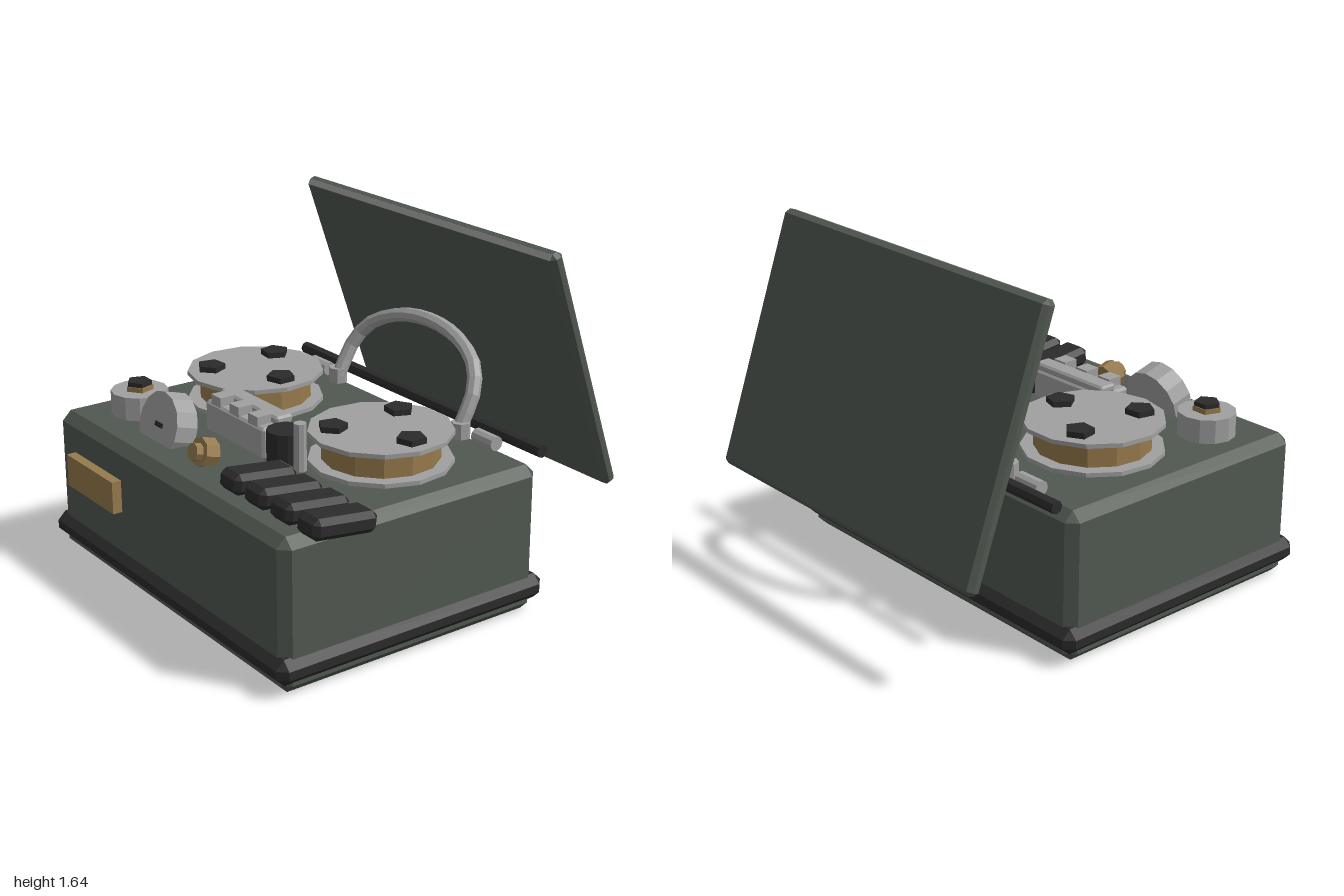
import * as THREE from 'three';
import { ConvexGeometry } from 'three/addons/geometries/ConvexGeometry.js';

const mat = (name, color) => Object.assign(new THREE.MeshStandardMaterial({ color }), { name });

// box with every edge cut at 45 degrees
function chamferBox(w, h, d, c) {
  const pts = [];
  for (const sx of [-1, 1]) for (const sy of [-1, 1]) for (const sz of [-1, 1]) {
    const x = w / 2, y = h / 2, z = d / 2;
    pts.push(
      new THREE.Vector3(sx * x, sy * (y - c), sz * (z - c)),
      new THREE.Vector3(sx * (x - c), sy * y, sz * (z - c)),
      new THREE.Vector3(sx * (x - c), sy * (y - c), sz * z));
  }
  return new ConvexGeometry(pts);
}

// separate the faces so that each has its own normal
function faceted(geometry) {
  const g = geometry.index ? geometry.toNonIndexed() : geometry;
  g.computeVertexNormals();
  return g;
}

export function createModel() {
  const green = mat('caseGreen', 0x515851);
  const black = mat('blackRubber', 0x2b2b2b);
  const silver = mat('silverMetal', 0xa0a0a0);
  const tan = mat('tanBrass', 0x967a4c);
  const model = new THREE.Group();
  model.name = 'tapeRecorder';

  function add(name, geometry, material, x, y, z, parent = model) {
    const mesh = new THREE.Mesh(faceted(geometry), material);
    mesh.name = name;
    mesh.position.set(x, y, z);
    parent.add(mesh);
    return mesh;
  }
  function group(name, x, y, z, rx = 0) {
    const g = new THREE.Group();
    g.name = name;
    g.position.set(x, y, z);
    g.rotation.x = rx;
    model.add(g);
    return g;
  }
  const cyl = (r, h, n) => new THREE.CylinderGeometry(r, r, h, n);

  // case, bumper band and front plate
  add('caseBody', chamferBox(1.87, 0.7, 1.37, 0.045), green, -0.033, 0.35, 0.24);
  add('bumperBand', chamferBox(1.935, 0.12, 1.44, 0.04), black, -0.033, 0.117, 0.24);
  add('frontPlate', new THREE.BoxGeometry(0.425, 0.155, 0.05), tan, -0.597, 0.453, 0.947);

  // open lid with a bright strip on its upper front edge
  const lid = group('lid', -0.03, 1.055, -0.728, 0.34);
  add('lidPanel', chamferBox(1.8, 1.225, 0.07, 0.022), green, 0, 0, 0, lid);
  const trim = add('lidTrim', new THREE.BoxGeometry(1.755, 0.03, 0.004), silver, 0, 0.6015, 0.024, lid);
  trim.rotation.x = -Math.PI / 4;

  // hinge rod and barrels
  add('hingeRod', cyl(0.03, 1.79, 8), black, -0.03, 0.74, -0.49).rotation.z = Math.PI / 2;
  for (const x of [-0.665, 0.595])
    add('hingeBarrel', cyl(0.035, 0.135, 10), silver, x, 0.733, -0.4).rotation.z = Math.PI / 2;

  // carrying handle
  const arch = [[-0.46, 0.74, -0.38], [-0.455, 0.89, -0.46], [-0.39, 0.995, -0.515], [-0.22, 1.075, -0.558]];
  const path = [...arch, [0, 1.103, -0.572], ...arch.map(([x, y, z]) => [-x, y, z]).reverse()];
  const curve = new THREE.CatmullRomCurve3(path.map(p => new THREE.Vector3(...p)));
  add('handle', new THREE.TubeGeometry(curve, 18, 0.035, 8), silver, -0.03, 0, 0);
  for (const x of [-0.5, 0.44])
    add('handleFoot', cyl(0.045, 0.08, 7), silver, x, 0.735, -0.38);

  // tape reels, mirrored left and right
  for (const [x, side] of [[-0.52, 1], [0.46, 1]]) {
    const reel = group('reel', x, 0, 0.095);
    add('lowerFlange', cyl(0.325, 0.02, 13), silver, 0, 0.72, 0, reel);
    add('tapePack', cyl(0.265, 0.115, 13), tan, 0, 0.785, 0, reel);
    add('upperFlange', cyl(0.325, 0.02, 13), silver, 0, 0.853, 0, reel);
    for (let i = 0; i < 3; i++) {
      const a = i * Math.PI * 2 / 3;
      add('reelStud', cyl(0.068, 0.03, 5), black, side * 0.212 * Math.cos(a), 0.875, 0.212 * Math.sin(a), reel)
        .rotation.y = -Math.PI / 2 - a;
    }
  }

  // head block with raised teeth
  add('headBlock', chamferBox(0.47, 0.15, 0.17, 0.012), silver, -0.095, 0.77, 0.415);
  add('headRidge', chamferBox(0.46, 0.04, 0.09, 0.01), silver, -0.095, 0.86, 0.378);
  for (const x of [-0.245, -0.095, 0.055])
    add('headTooth', new THREE.BoxGeometry(0.075, 0.07, 0.075), silver, x, 0.85, 0.458);

  // pinch roller and capstan
  add('pinchRoller', cyl(0.088, 0.16, 12), black, 0.225, 0.78, 0.435);
  add('capstan', cyl(0.029, 0.22, 8), silver, 0.33, 0.81, 0.435);

  // selector knob
  add('selectorKnob', cyl(0.135, 0.115, 12), silver, -0.71, 0.755, 0.625);
  add('selectorCollar', cyl(0.066, 0.025, 5), tan, -0.71, 0.823, 0.625);
  add('selectorCap', cyl(0.06, 0.022, 5), black, -0.71, 0.846, 0.625);

  // round meter, leaning back
  const meter = group('meter', -0.347, 0.755, 0.69, -0.28);
  add('meterDrum', cyl(0.157, 0.11, 14), silver, 0, 0, 0, meter).rotation.x = Math.PI / 2;
  add('meterNeedle', new THREE.BoxGeometry(0.06, 0.022, 0.008), black, 0.01, 0.005, 0.057, meter);

  // small brass dial
  const dial = group('dial', 0.015, 0.75, 0.72, -0.28);
  add('dialBase', cyl(0.068, 0.07, 8), tan, 0, 0, 0, dial).rotation.x = Math.PI / 2;
  add('dialTip', cyl(0.04, 0.05, 8), tan, 0, 0, 0.045, dial).rotation.x = Math.PI / 2;

  // row of sloping keys
  [0.355, 0.543, 0.731, 0.92].forEach((x, i) => {
    const key = group('key', x, 0.733, 0.67, -0.12);
    add('keyCap', chamferBox(0.15, 0.095, 0.32, 0.025), black, 0, 0, 0, key);
    if (i % 3 === 0)
      add('keyMark', new THREE.BoxGeometry(0.1, 0.03, 0.004), tan, 0, 0.0355, -0.148, key).rotation.x = Math.PI / 4;
  });
  return model;
}
